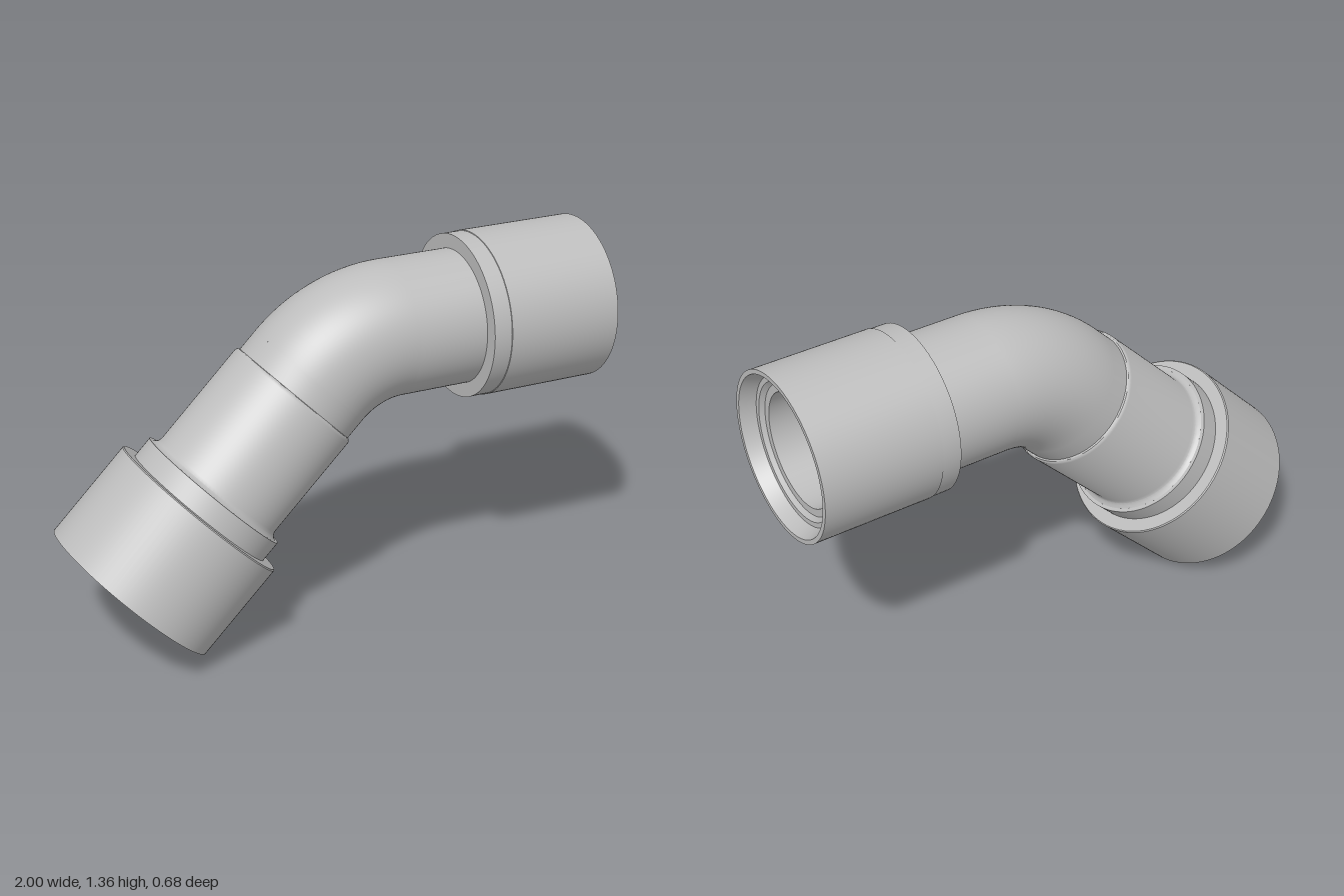
import * as THREE from 'three';
import { toCreasedNormals } from 'three/addons/utils/BufferGeometryUtils.js';

const CORNER = new THREE.Vector3(0.0575, 1.0625, 0); // where the two pipe axes meet
const BEND = 0.44;                                   // bend radius of the centre line
const START = BEND * Math.tan(Math.PI / 8);          // corner to start of each straight run
const OUTER = 0.243, BORE = 0.2;

// 45 degree centre line of the elbow
class BendCurve extends THREE.Curve {
  getPoint(t, target = new THREE.Vector3()) {
    const a = Math.PI / 2 + t * Math.PI / 4;
    return target.set(
      CORNER.x + START + BEND * Math.cos(a),
      CORNER.y - BEND + BEND * Math.sin(a), 0);
  }
}

export function createModel() {
  const group = new THREE.Group();
  const grey = new THREE.MeshStandardMaterial({ color: 0xbdbdbd, side: THREE.DoubleSide });
  grey.name = 'light grey';

  const add = (name, geometry, parent = group) => {
    const mesh = new THREE.Mesh(geometry, grey);
    mesh.name = name;
    parent.add(mesh);
  };
  // Revolved part: points are [radius, distance from the corner]
  const turned = (name, points, parent) => {
    const profile = points.map(([r, d]) => new THREE.Vector2(r, d));
    add(name, toCreasedNormals(new THREE.LatheGeometry(profile, 96), 0.4), parent);
  };
  // Arm whose local +y runs outward from the corner
  const arm = (name, angle) => {
    const g = new THREE.Group();
    g.name = name;
    g.position.copy(CORNER);
    g.rotation.z = angle;
    group.add(g);
    return g;
  };

  // Curved elbow, outside and bore
  const bend = new BendCurve();
  add('elbowOuter', new THREE.TubeGeometry(bend, 40, OUTER, 96), group);
  add('elbowBore', new THREE.TubeGeometry(bend, 40, BORE, 96), group);

  // Horizontal arm
  const right = arm('horizontalArm', -Math.PI / 2);
  turned('horizontalPipe', [[OUTER, START], [OUTER, 0.4425]], right);
  turned('horizontalSocket', [
    [OUTER, 0.4425], [0.295, 0.4425], [0.295, 0.51], [0.2975, 0.511],
    [0.2975, 0.9425], [0.281, 0.9425], [0.259, 0.89], [0.241, 0.89],
    [0.227, 0.875], [BORE, 0.875], [BORE, START],
  ], right);

  // Sloping arm, with a slightly thicker sleeve over the elbow
  const lower = arm('slopingArm', Math.PI * 0.75);
  turned('slopingNeck', [[OUTER, START], [OUTER, 0.262]], lower);
  turned('slopingSleeve', [
    [OUTER, 0.262], [0.249, 0.264], [0.253, 0.269], [0.255, 0.276],
    [0.255, 0.674], [0.259, 0.686], [0.266, 0.694], [0.275, 0.699],
  ], lower);
  turned('slopingCollar', [[0.275, 0.699], [0.288, 0.699], [0.288, 0.778]], lower);
  turned('slopingSocket', [
    [0.288, 0.778], [0.336, 0.778], [0.34, 0.782], [0.34, 1.156],
    [0.325, 1.156], [0.3, 1.1], [0.28, 1.1], [0.265, 1.085],
    [BORE, 1.085], [BORE, START],
  ], lower);

  return group;
}
